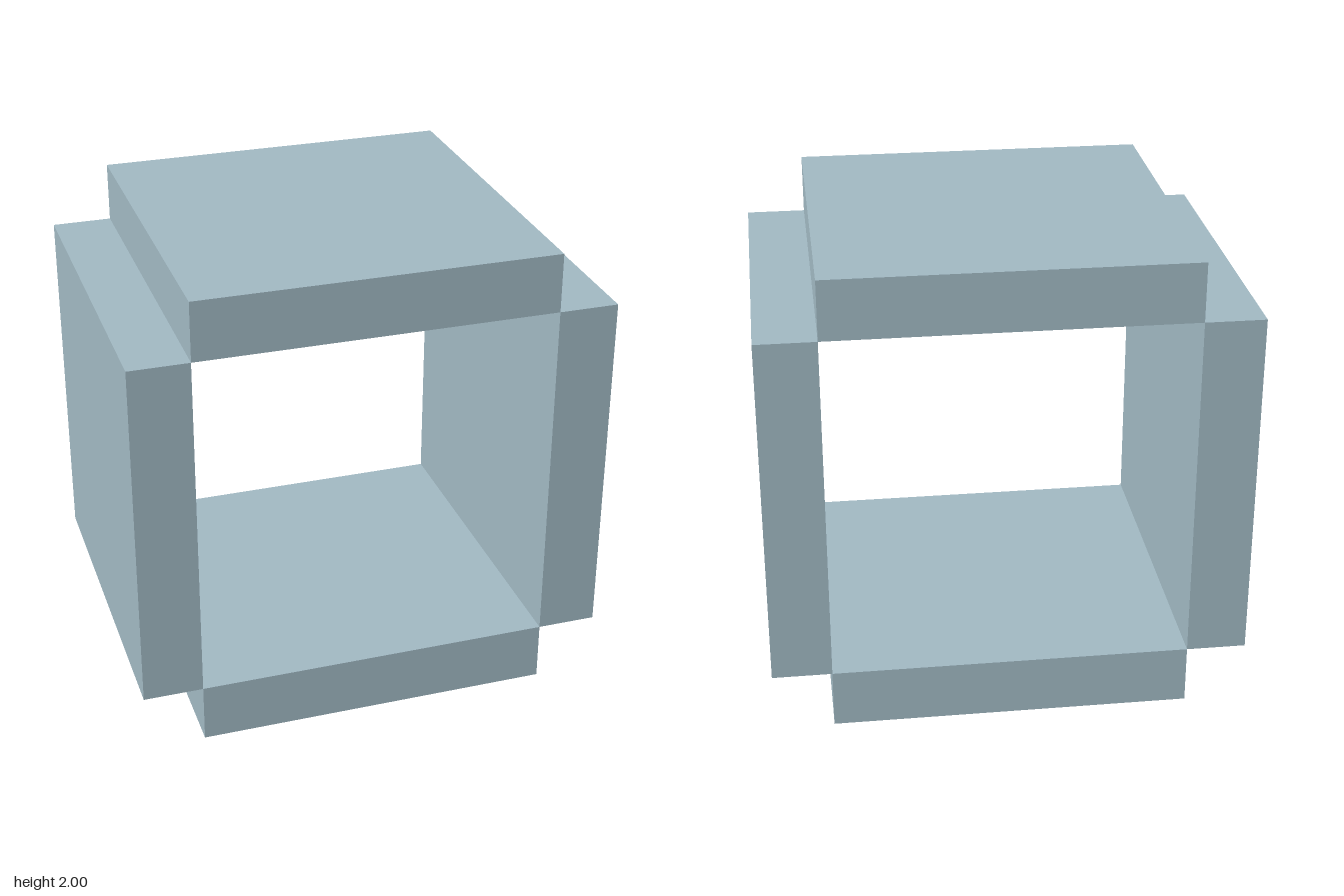
import * as THREE from 'three';

export function createModel() {
  const model = new THREE.Group();
  model.name = 'openFrame';

  const paleBlue = new THREE.MeshStandardMaterial({ color: 0xa0b8c2 });
  paleBlue.name = 'paleBlueGrey';

  const span = 1.5;       // panel width and depth
  const thickness = 0.25; // panel thickness
  const offset = 0.875;   // panel centre to frame centre

  const flatPanel = new THREE.BoxGeometry(span, thickness, span);
  const sidePanel = new THREE.BoxGeometry(thickness, span, span);

  const addPanel = (name, geometry, x, y) => {
    const panel = new THREE.Mesh(geometry, paleBlue);
    panel.name = name;
    panel.position.set(x, y, 0);
    model.add(panel);
  };

  // Four panels meeting along their inner edges, open at front and back
  addPanel('topPanel', flatPanel, 0, 1 + offset);
  addPanel('bottomPanel', flatPanel, 0, 1 - offset);
  addPanel('leftPanel', sidePanel, offset, 1);
  addPanel('rightPanel', sidePanel, -offset, 1);

  return model;
}
